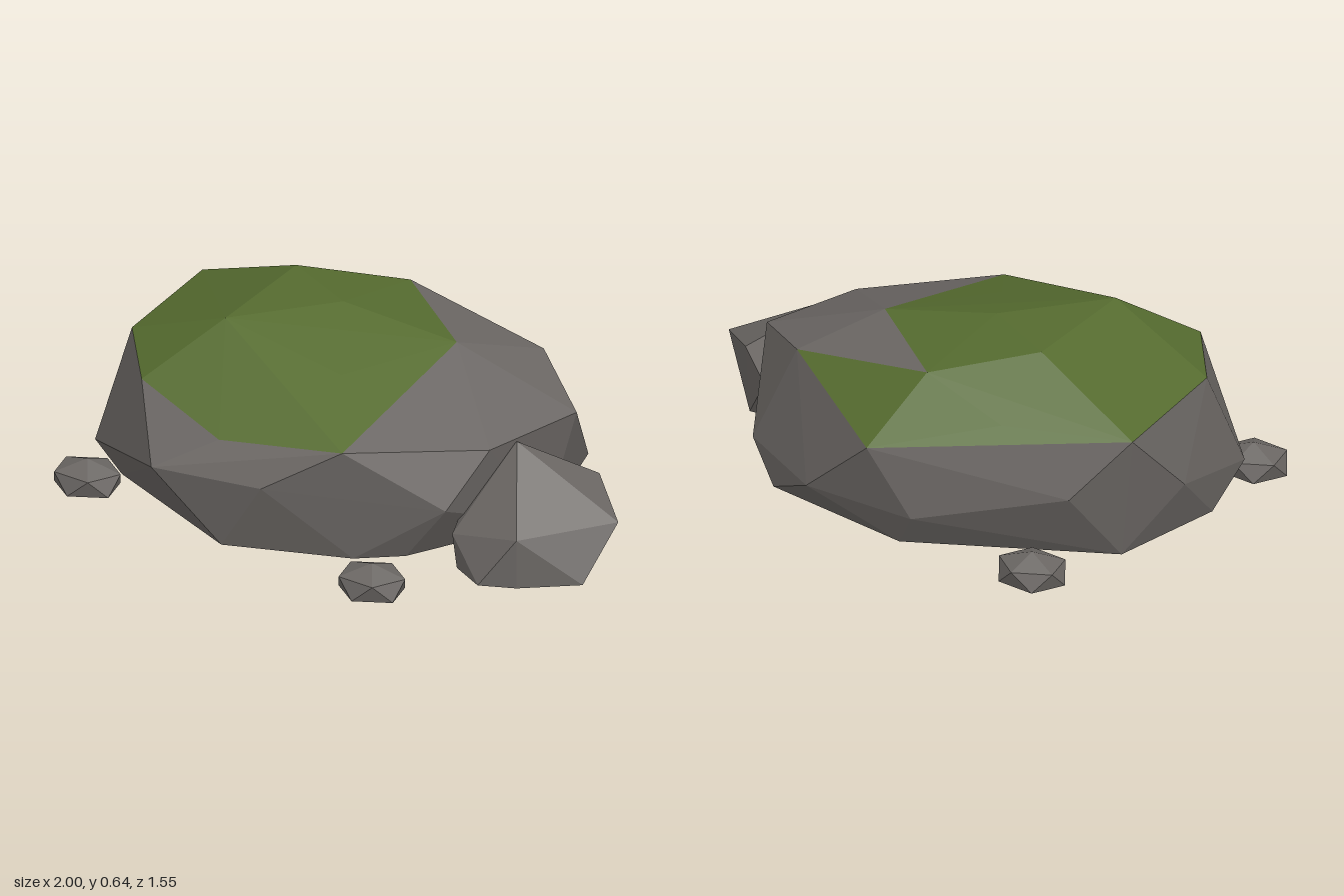
import * as THREE from 'three';
import { ConvexGeometry } from 'three/addons/geometries/ConvexGeometry.js';

const stone = new THREE.MeshStandardMaterial({ color: 0x6a6663, flatShading: true });
const moss = new THREE.MeshStandardMaterial({ color: 0x556b2f, flatShading: true });

const hull = (corners) => new ConvexGeometry(corners.map((c) => new THREE.Vector3(...c)));

function addMesh(parent, name, geometry, material) {
  const mesh = new THREE.Mesh(geometry, material);
  mesh.name = name;
  parent.add(mesh);
  return mesh;
}

// Divides a hull into the faces that pass a test and the rest
function splitFaces(geometry, test) {
  const p = geometry.attributes.position;
  const kept = [], rest = [];
  for (let i = 0; i < p.count; i += 3) {
    const tri = [0, 1, 2].map((k) => new THREE.Vector3().fromBufferAttribute(p, i + k));
    (test(tri) ? kept : rest).push(...tri);
  }
  return [kept, rest].map((points) => {
    const g = new THREE.BufferGeometry().setFromPoints(points);
    g.computeVertexNormals();
    return g;
  });
}

// Corners of the main boulder, from the crown down to the ground
const crown = [
  [-0.44, 0.645, 0.15], [-0.11, 0.645, -0.10], [-0.35, 0.645, -0.29],
  [0.30, 0.57, -0.09], [0, 0.54, 0.215], [0, 0.575, -0.45],
];
const shoulder = [
  [-0.82, 0.48, 0.03], [-0.67, 0.465, 0.34], [-0.33, 0.38, 0.51], [0.12, 0.42, 0.53],
  [0.56, 0.395, 0.29], [0.745, 0.405, -0.05], [0.53, 0.48, -0.31],
  [0.13, 0.37, -0.67], [-0.30, 0.47, -0.52], [-0.75, 0.47, -0.46],
];
const waist = [
  [-0.90, 0.11, 0.17], [-0.55, 0.265, 0.57], [-0.15, 0.265, 0.59], [0.45, 0.205, 0.42],
  [0.69, 0.11, -0.31], [0.39, 0.12, -0.57], [-0.03, 0.13, -0.67],
  [-0.56, 0.257, -0.56], [-0.85, 0.215, -0.24],
];
const foot = [
  [-0.80, 0, 0.18], [-0.31, 0, 0.54], [0.14, 0, 0.48], [0.30, 0, 0.40], [0.65, 0, 0],
  [0.57, 0, -0.42], [0.035, 0, -0.61], [-0.69, 0, -0.41], [-0.86, 0, -0.02],
];

// Smaller rock leaning on the boulder's left side
const sideRockCorners = [
  [0.62, 0.39, 0.19], [1.0, 0.175, 0.235], [0.86, 0.24, 0.04], [0.75, 0.17, -0.06],
  [0.73, 0.18, 0.49], [0.47, 0.12, 0.41], [0.45, 0.2, 0.12],
  [0.93, 0, 0.39], [0.73, 0, 0.49], [0.60, 0, 0.515], [0.49, 0, 0.42], [0.84, 0, 0.03], [0.5, 0, 0],
];

// Pebble: a peak over two staggered five-cornered rings
function pebbleGeometry() {
  const corners = [[0, 0.105, 0]];
  for (let i = 0; i < 5; i++) {
    const a = (i * Math.PI * 2) / 5, b = a + Math.PI / 5;
    corners.push([0.12 * Math.cos(a), 0.065, 0.1 * Math.sin(a)]);
    corners.push([0.12 * Math.cos(b), 0, 0.1 * Math.sin(b)]);
  }
  return hull(corners);
}

export function createModel() {
  const model = new THREE.Group();
  model.name = 'mossyRocks';

  // Boulder with moss over its upper faces, leaving one bare patch
  const boulder = new THREE.Group();
  boulder.name = 'boulder';
  const [mossFaces, stoneFaces] = splitFaces(
    hull([...crown, ...shoulder, ...waist, ...foot]),
    (t) => t.every((v) => v.y > 0.36) && t[0].x + t[1].x + t[2].x < 0.75,
  );
  addMesh(boulder, 'boulderStone', stoneFaces, stone);
  addMesh(boulder, 'mossCap', mossFaces, moss);
  model.add(boulder);

  addMesh(model, 'sideRock', hull(sideRockCorners), stone);

  // Pebbles scattered around the boulder
  const pebble = pebbleGeometry();
  [[-0.88, 0.3], [0.28, 0.675], [-0.475, -0.68]].forEach(([x, z], i) => {
    addMesh(model, `pebble${i + 1}`, pebble, stone).position.set(x, 0, z);
  });
  return model;
}
